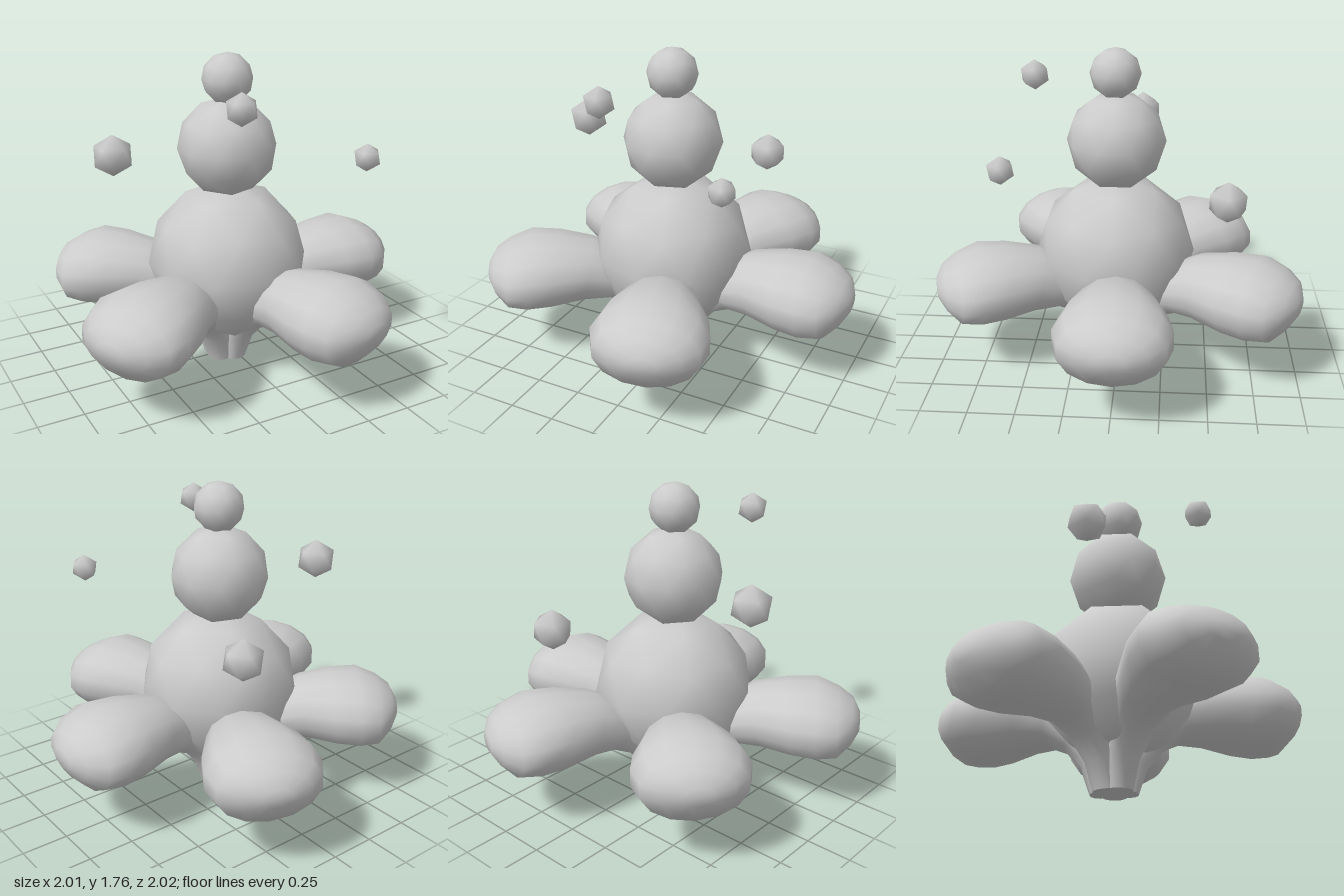
import * as THREE from 'three';

const material = new THREE.MeshStandardMaterial({ color: 0xcccccc });

// Smooth-shaded icosphere with one vertex pointing straight up
function ball(name, x, y, z, radius, detail) {
  const geometry = new THREE.IcosahedronGeometry(radius, detail);
  geometry.rotateZ(-Math.atan(2 / (1 + Math.sqrt(5))));
  const p = geometry.attributes.position;
  const n = new THREE.Vector3();
  for (let i = 0; i < p.count; i++) {
    n.fromBufferAttribute(p, i).normalize();
    geometry.attributes.normal.setXYZ(i, n.x, n.y, n.z);
  }
  const mesh = new THREE.Mesh(geometry, material);
  mesh.name = name;
  mesh.position.set(x, y, z);
  return mesh;
}

// Petal cross-sections: lower edge (r, y), upper edge (r, y), half width
const SECTIONS = [
  [0.13, 0.00, 0.00, 0.01, 0.07],
  [0.18, 0.14, 0.03, 0.20, 0.09],
  [0.27, 0.25, 0.13, 0.38, 0.13],
  [0.38, 0.30, 0.28, 0.56, 0.17],
  [0.52, 0.30, 0.46, 0.65, 0.22],
  [0.70, 0.275, 0.64, 0.685, 0.285],
  [0.83, 0.27, 0.80, 0.695, 0.31],
  [0.93, 0.285, 0.92, 0.65, 0.275],
  [1.00, 0.36, 1.00, 0.60, 0.19],
  [1.04, 0.43, 1.04, 0.53, 0.08],
];

// Loft of elliptical rings running outward along +x
function petalGeometry(sides = 14) {
  const positions = [], index = [];
  const addRing = ([r0, y0, r1, y1, w]) => {
    for (let j = 0; j < sides; j++) {
      const a = (j / sides) * Math.PI * 2;
      const t = (1 + Math.cos(a)) / 2;
      positions.push(r0 + (r1 - r0) * t, y0 + (y1 - y0) * t, w * Math.sin(a));
    }
  };
  SECTIONS.forEach(addRing);
  for (let i = 0; i < SECTIONS.length - 1; i++) {
    for (let j = 0; j < sides; j++) {
      const k = (j + 1) % sides;
      const a = i * sides + j, b = i * sides + k;
      index.push(a, b, a + sides, b, b + sides, a + sides);
    }
  }
  // Rounded tip closure
  const last = (SECTIONS.length - 1) * sides;
  const tip = positions.length / 3;
  positions.push(1.043, 0.48, 0);
  for (let j = 0; j < sides; j++) index.push(last + j, last + (j + 1) % sides, tip);
  // Flat foot with its own ring so the edge stays sharp
  const foot = positions.length / 3;
  addRing(SECTIONS[0]);
  const centre = positions.length / 3;
  positions.push(0.065, 0.005, 0);
  for (let j = 0; j < sides; j++) index.push(foot + (j + 1) % sides, foot + j, centre);

  const geometry = new THREE.BufferGeometry();
  geometry.setAttribute('position', new THREE.Float32BufferAttribute(positions, 3));
  geometry.setIndex(index);
  geometry.computeVertexNormals();
  return geometry;
}

export function createModel() {
  const model = new THREE.Group();
  model.name = 'flower';

  // Five petals: angle around the stem in degrees, and reach
  const geometry = petalGeometry();
  [[-1, 1], [72, 1], [149.5, 1.015], [221, 0.955], [293.5, 1.02]].forEach(([angle, reach], i) => {
    const petal = new THREE.Mesh(geometry, material);
    petal.name = `petal${i + 1}`;
    petal.position.set(-0.04, 0, 0);
    petal.rotation.y = -THREE.MathUtils.degToRad(angle);
    petal.scale.set(reach, 1, 1);
    model.add(petal);
  });

  // Stacked balls of the flower's heart
  model.add(
    ball('lowerBall', -0.04, 0.605, 0.025, 0.445, 1),
    ball('middleBall', -0.04, 1.25, 0.02, 0.273, 1),
    ball('topBall', -0.04, 1.62, 0.025, 0.139, 1),
  );

  // Floating pollen grains
  [
    [-0.65, 1.25, -0.10, 0.112],
    [-0.21, 1.565, 0.485, 0.085],
    [0.49, 1.25, 0.56, 0.075],
    [0.28, 1.025, -0.58, 0.112],
  ].forEach(([x, y, z, r], i) => model.add(ball(`pollenGrain${i + 1}`, x, y, z, r, 0)));

  return model;
}
